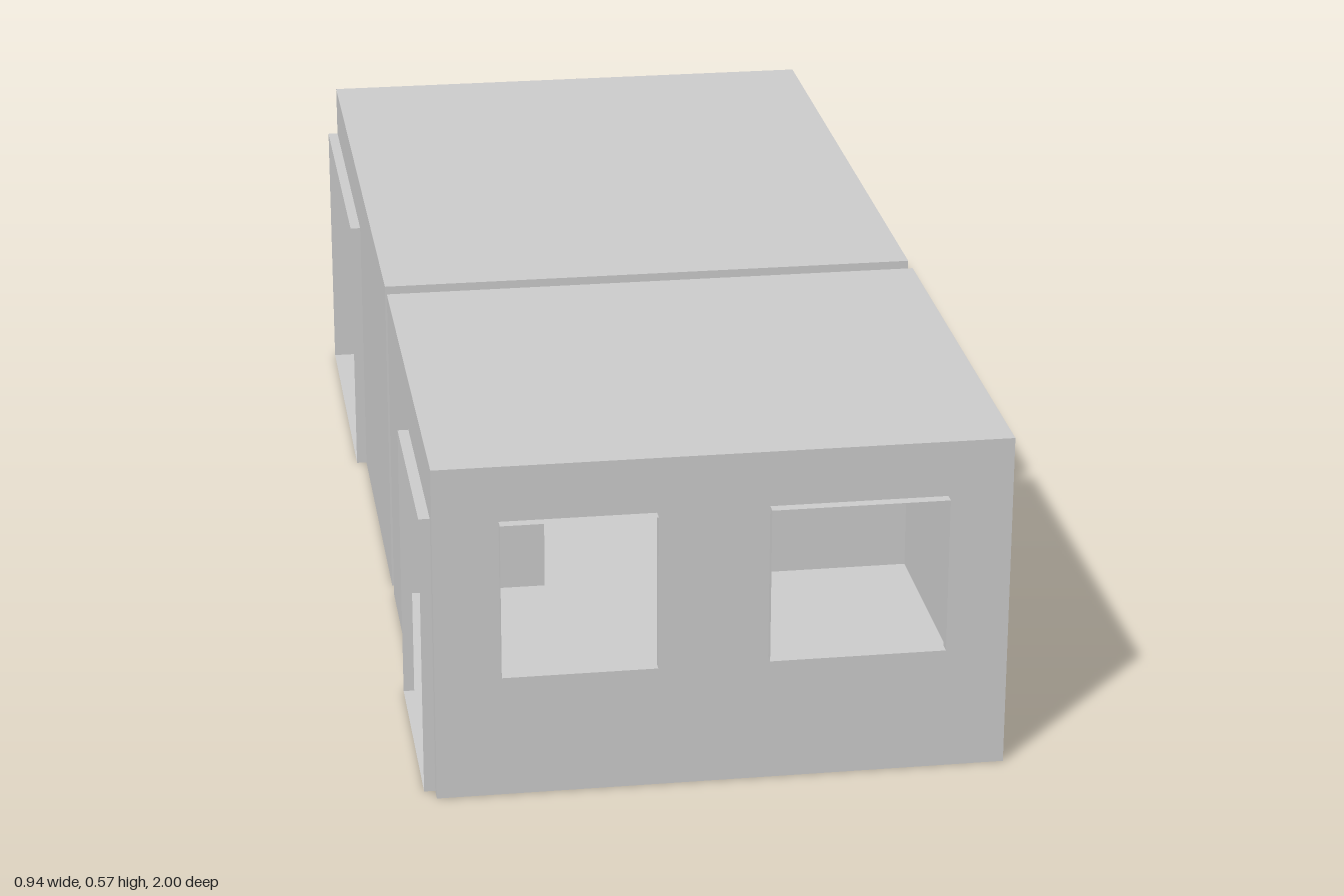
import * as THREE from 'three';
import { mergeGeometries } from 'three/addons/utils/BufferGeometryUtils.js';

const material = new THREE.MeshStandardMaterial({ color: 0xcccccc, side: THREE.DoubleSide });

const X0 = -0.455, X1 = 0.471; // side walls
const H = 0.57; // roof height
const HEAD = 0.477; // top of every opening
const LIP = 0.018; // how far the frames stand out

const windows = [
  { u0: -0.35, u1: -0.1, v0: 0.215, v1: HEAD },
  { u0: 0.08, u1: 0.366, v0: 0.215, v1: HEAD },
];
const passage = { u0: -0.185, u1: 0.2, v0: 0, v1: HEAD };

// Rectangle in the local xy plane
function rect(u0, u1, v0, v1) {
  return new THREE.PlaneGeometry(u1 - u0, v1 - v0).translate((u0 + u1) / 2, (v0 + v1) / 2, 0);
}

// Thin wall with rectangular openings, listed from left to right
function wall(u0, u1, openings = []) {
  const parts = [];
  const add = (a, b, c, d) => { if (b - a > 1e-6 && d - c > 1e-6) parts.push(rect(a, b, c, d)); };
  let u = u0;
  for (const o of openings) {
    add(u, o.u0, 0, H);
    add(o.u0, o.u1, 0, o.v0);
    add(o.u0, o.u1, o.v1, H);
    u = o.u1;
  }
  add(u, u1, 0, H);
  return mergeGeometries(parts);
}

// Thin four-sided sleeve around an opening, running along local z from 0 to depth
function sleeve({ u0, u1, v0, v1 }, depth) {
  const w = u1 - u0, h = v1 - v0, d = Math.abs(depth);
  const cu = (u0 + u1) / 2, cv = (v0 + v1) / 2;
  const parts = [];
  for (const s of [-1, 1]) {
    parts.push(new THREE.PlaneGeometry(d, h).rotateY(s * Math.PI / 2).translate(cu + s * w / 2, cv, depth / 2));
    parts.push(new THREE.PlaneGeometry(w, d).rotateX(-s * Math.PI / 2).translate(cu, cv + s * h / 2, depth / 2));
  }
  return mergeGeometries(parts);
}

function addMesh(parent, name, geometry) {
  const mesh = new THREE.Mesh(geometry, material);
  mesh.name = name;
  parent.add(mesh);
  return mesh;
}

// Hollow room from z0 to z1; sign tells which end carries the windows
function room(name, z0, z1, sign, door) {
  const g = new THREE.Group();
  g.name = name;
  const outer = sign > 0 ? z1 : z0;
  const inner = sign > 0 ? z0 : z1;

  addMesh(g, 'windowWall', wall(X0, X1, windows)).position.z = outer;
  addMesh(g, 'passageWall', wall(X0, X1, [passage])).position.z = inner;
  for (const w of windows) addMesh(g, 'windowFrame', sleeve(w, sign * LIP)).position.z = outer;

  // Side walls: local x becomes z and local z points to -x
  addMesh(g, 'doorWall', wall(z0, z1, [door]).rotateY(-Math.PI / 2)).position.x = X0;
  addMesh(g, 'doorFrame', sleeve(door, LIP).rotateY(-Math.PI / 2)).position.x = X0;
  addMesh(g, 'plainWall', wall(-z1, -z0).rotateY(Math.PI / 2)).position.x = X1;

  // Floor and roof
  addMesh(g, 'floor', rect(X0, X1, z0, z1).rotateX(Math.PI / 2));
  addMesh(g, 'roof', rect(X0, X1, -z1, -z0).rotateX(-Math.PI / 2)).position.y = H;
  return g;
}

export function createModel() {
  const model = new THREE.Group();
  model.name = 'twoRoomBuilding';
  model.add(room('frontRoom', 0.198, 0.982, 1, { u0: 0.588, u1: 0.955, v0: 0, v1: HEAD }));
  model.add(room('backRoom', -0.982, 0.16, -1, { u0: -0.982, u1: -0.41, v0: 0, v1: HEAD }));

  // Short passage joining the rooms
  addMesh(model, 'passage', sleeve(passage, 0.038)).position.z = 0.16;
  return model;
}
